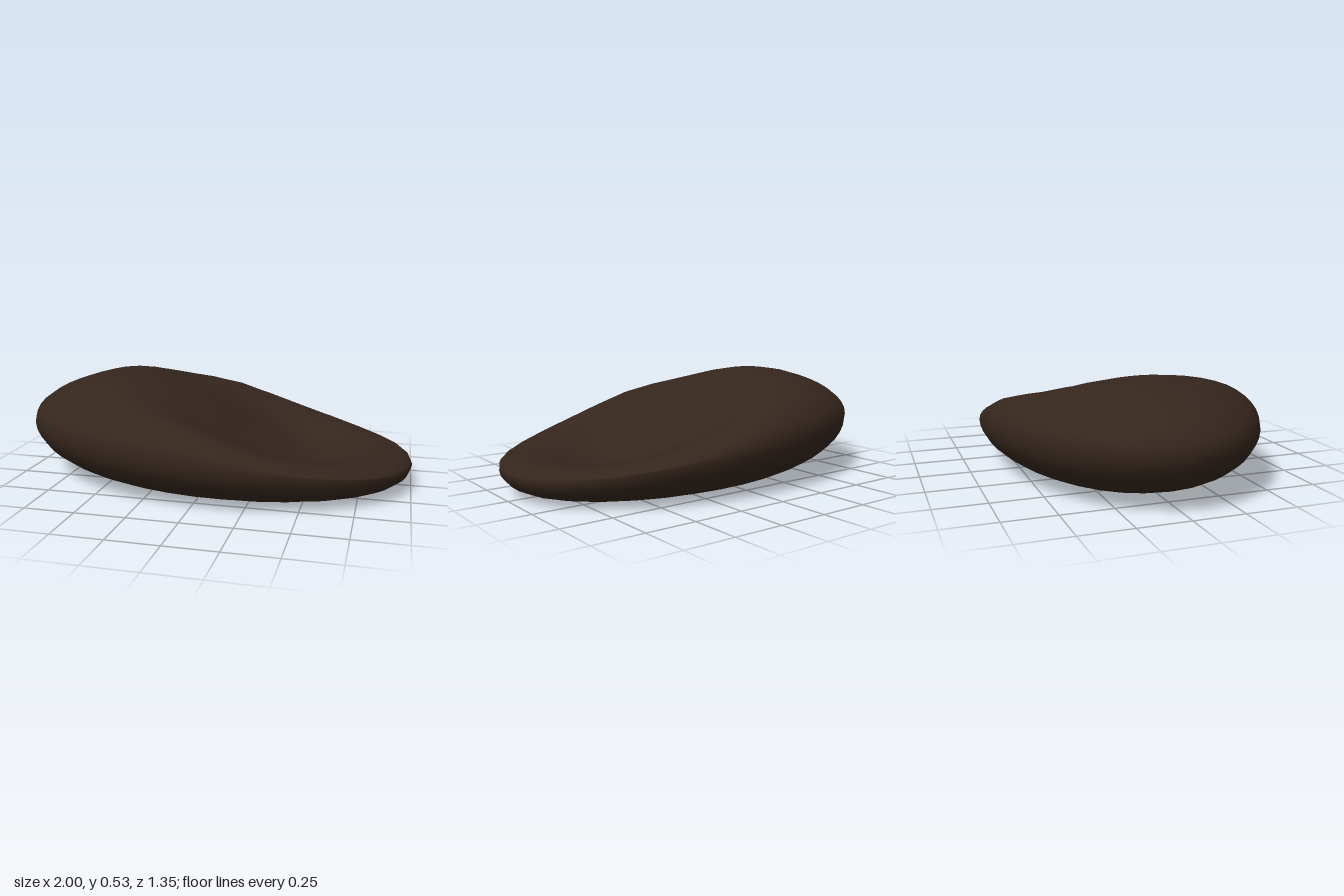
import * as THREE from 'three';
import { mergeVertices } from 'three/addons/utils/BufferGeometryUtils.js';

// Swell of the upper side above the widest seam, sampled evenly from x = -1 to 1
const SWELL = [0.30, 0.30, 0.30, 0.235, 0.165, 0.095, 0.045, 0.027, 0.075];
const swellCurve = new THREE.SplineCurve(SWELL.map((h, i) => new THREE.Vector2(-1 + i / 4, h)));

// Height of a point on the cushion, from its place on a unit sphere
function cushionHeight(x, up, r) {
  const seam = 0.245 - 0.082 * x - 0.046 * x * x;
  const c = Math.abs(up);
  if (up < 0) {
    // underside: round edge settling softly onto the floor
    const v = seam - c * (0.32 - 0.05 * x);
    return 0.5 * (v + Math.sqrt(v * v + 0.0009));
  }
  // upper side: round backrest blending into a puffy rim around the seat
  const swell = swellCurve.getPoint((x + 1) / 2).y;
  const rimBlend = THREE.MathUtils.smoothstep(x, -0.5, 0.1);
  const profile = THREE.MathUtils.lerp(c, 1 - (1 - c) ** 2, rimBlend);
  // hollow of the seat
  const hollow = 0.12 * THREE.MathUtils.smoothstep(x, -0.65, 0.6)
    * (1 - THREE.MathUtils.smoothstep(r, 0.42, 0.9));
  return seam + swell * profile - hollow;
}

export function createModel() {
  const group = new THREE.Group();
  group.name = 'beanBag';

  let geometry = new THREE.SphereGeometry(1, 32, 28);
  geometry.deleteAttribute('uv');
  geometry.deleteAttribute('normal');
  geometry = mergeVertices(geometry, 1e-4);

  const p = geometry.attributes.position;
  for (let i = 0; i < p.count; i++) {
    const x = p.getX(i), up = p.getY(i), z = p.getZ(i);
    const y = cushionHeight(x, up, Math.hypot(x, z));
    p.setXYZ(i, x, y, z * 0.677);
  }
  geometry.computeVertexNormals();

  const cushion = new THREE.Mesh(geometry, new THREE.MeshStandardMaterial({ color: 0x35261d }));
  cushion.name = 'cushion';
  group.add(cushion);
  return group;
}
